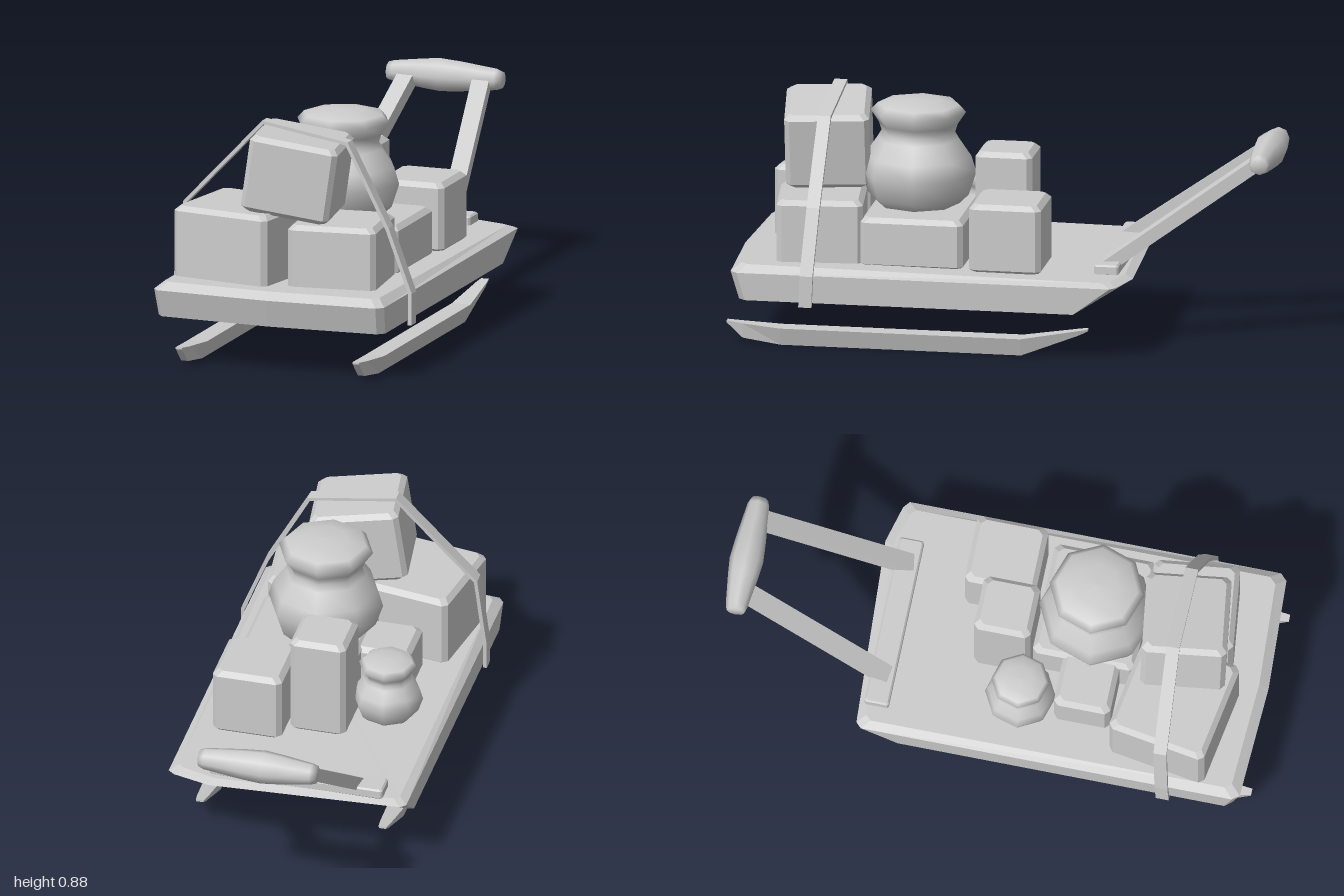
import * as THREE from 'three';

// Closed solid through stacked rings of [x, y, z], flat faces, ends capped
function loft(rings) {
  const pos = [];
  const tri = (a, b, c) => pos.push(...a, ...b, ...c);
  const n = rings[0].length;
  for (let r = 0; r < rings.length - 1; r++) {
    for (let i = 0; i < n; i++) {
      const j = (i + 1) % n, a = rings[r], b = rings[r + 1];
      tri(a[i], a[j], b[j]);
      tri(a[i], b[j], b[i]);
    }
  }
  const first = rings[0], last = rings[rings.length - 1];
  for (let i = 1; i < n - 1; i++) {
    tri(first[0], first[i + 1], first[i]);
    tri(last[0], last[i], last[i + 1]);
  }
  const g = new THREE.BufferGeometry();
  g.setAttribute('position', new THREE.Float32BufferAttribute(pos, 3));
  g.computeVertexNormals();
  return g;
}

// Box with chamfered edges, centred on its middle
function crate(w, h, d, c = 0.018) {
  const ring = (y, inset) => {
    const x = w / 2 - inset, z = d / 2 - inset;
    return [[x, y, z - c], [x, y, c - z], [x - c, y, -z], [c - x, y, -z],
      [-x, y, c - z], [-x, y, z - c], [c - x, y, z], [x - c, y, z]];
  };
  return loft([ring(-h / 2, c), ring(c - h / 2, 0), ring(h / 2 - c, 0), ring(h / 2, c)]);
}

export function createModel() {
  const model = new THREE.Group();
  const grey = new THREE.MeshStandardMaterial({ color: 0xcccccc });
  grey.name = 'plain grey';
  const add = (name, geometry, x = 0, y = 0, z = 0) => {
    const m = new THREE.Mesh(geometry, grey);
    m.name = name;
    m.position.set(x, y, z);
    model.add(m);
    return m;
  };

  // Deck: bowed front, pointed undercut back
  const outline = [[0.445, 0.95], [0.445, -0.43], [0.42, -0.45], [0.28, -0.487], [-0.43, -0.45],
    [-0.45, -0.43], [-0.45, 0.95], [-0.43, 0.975], [0, 0.995], [0.42, 0.975]];
  const bottom = outline.map(([x, z]) => [x * 0.985, 0.18, z < 0 ? -0.3 + (z + 0.45) * 0.3 : z - 0.03]);
  const middle = outline.map(([x, z]) => [x, 0.283, z]);
  const top = outline.map(([x, z]) => [x * 0.93, z < 0 ? 0.297 : 0.31, z < 0 ? z + 0.03 : z - 0.035]);
  add('deck', loft([bottom, middle, top]));

  // Runners: tapered beams with upturned ends; rows are z, lower y, upper y, lower and upper half width
  const sections = [[-0.335, 0.1, 0.108, 0.013, 0.015], [-0.3, 0.083, 0.102, 0.014, 0.02],
    [-0.09, 0, 0.066, 0.015, 0.036], [0.8, 0, 0.066, 0.015, 0.036],
    [0.94, 0.02, 0.076, 0.014, 0.022], [1, 0.075, 0.082, 0.012, 0.013]];
  const runner = loft(sections.map(([z, lo, hi, wl, wh]) =>
    [[-wl, lo, z], [wl, lo, z], [wh, hi, z], [-wh, hi, z]]));
  add('rightRunner', runner, -0.335);
  add('leftRunner', runner, 0.353);

  // Cargo: name, size, centre, yaw, roll
  const cargo = [
    ['frontRightCrate', [0.39, 0.28, 0.37], [-0.2, 0.43, 0.685], -0.165, 0],
    ['frontLeftCrate', [0.33, 0.25, 0.315], [0.176, 0.412, 0.68], 0.118, 0],
    ['stackedCrate', [0.33, 0.285, 0.31], [0.008, 0.7, 0.685], 0.14, -0.145],
    ['sackCrate', [0.43, 0.19, 0.38], [0.115, 0.385, 0.325], 0, 0],
    ['lowCrate', [0.24, 0.18, 0.21], [-0.16, 0.38, 0.355], 0, 0],
    ['tallCrate', [0.21, 0.39, 0.21], [-0.02, 0.487, 0.027], 0, 0],
    ['rearCrate', [0.26, 0.262, 0.265], [0.225, 0.423, -0.025], 0, 0],
  ];
  for (const [name, size, centre, yaw, roll] of cargo) {
    add(name, crate(...size), ...centre).rotation.set(0, yaw, roll, 'ZYX');
  }

  // Tied sacks: eight-sided, smooth
  const profile = [[0, 0], [0.15, 0], [0.185, 0.035], [0.213, 0.12], [0.195, 0.18], [0.15, 0.245],
    [0.135, 0.27], [0.145, 0.3], [0.175, 0.345], [0.15, 0.372], [0.08, 0.388], [0, 0.392]];
  const sack = new THREE.LatheGeometry(profile.map(([r, y]) => new THREE.Vector2(r, y)), 8);
  add('largeSack', sack, 0.058, 0.478, 0.345).rotation.y = 0.06;
  const small = add('smallSack', sack, -0.235, 0.3, 0.12);
  small.scale.setScalar(0.61);
  small.rotation.y = 0.1;

  // Strap over the front cargo: band of constant thickness, leaning slightly
  const path = [[-0.462, 0.178], [-0.462, 0.29], [-0.43, 0.56], [-0.128, 0.88], [0.205, 0.825],
    [0.37, 0.52], [0.463, 0.285], [0.463, 0.168]].map(([x, y]) => new THREE.Vector2(x, y));
  const strapRings = path.map((p, i) => {
    const t = path[Math.min(i + 1, 7)].clone().sub(path[Math.max(i - 1, 0)]).normalize();
    const q = new THREE.Vector2(t.y, -t.x).multiplyScalar(0.014).add(p);
    const z = 0.665 + (0.88 - p.y) * 0.04;
    return [[p.x, p.y, z - 0.024], [q.x, q.y, z - 0.024], [q.x, q.y, z + 0.024], [p.x, p.y, z + 0.024]];
  });
  add('strap', loft(strapRings.map((r) => r.reverse()).reverse().map((r) => r.reverse())));

  // Handle: mounting plate, two bars and a swollen grip
  add('handleMount', crate(0.65, 0.04, 0.09, 0.006), -0.035, 0.312, -0.39);
  const bar = (name, from, to) => {
    const a = new THREE.Vector3(...from), b = new THREE.Vector3(...to);
    const m = add(name, new THREE.BoxGeometry(0.065, 0.048, a.distanceTo(b)));
    m.position.lerpVectors(a, b, 0.5);
    m.lookAt(b);
  };
  bar('rightHandleBar', [-0.24, 0.31, -0.375], [-0.165, 0.7, -0.92]);
  bar('leftHandleBar', [0.2, 0.31, -0.375], [0.12, 0.7, -0.92]);
  const gripProfile = [[0, -0.222], [0.033, -0.222], [0.04, -0.2], [0.056, -0.08], [0.062, -0.02],
    [0.056, 0.06], [0.04, 0.2], [0.031, 0.222], [0, 0.222]];
  const grip = new THREE.LatheGeometry(gripProfile.map(([r, y]) => new THREE.Vector2(r, y)), 8);
  add('grip', grip, -0.027, 0.707, -0.937).rotation.z = -Math.PI / 2;

  return model;
}
